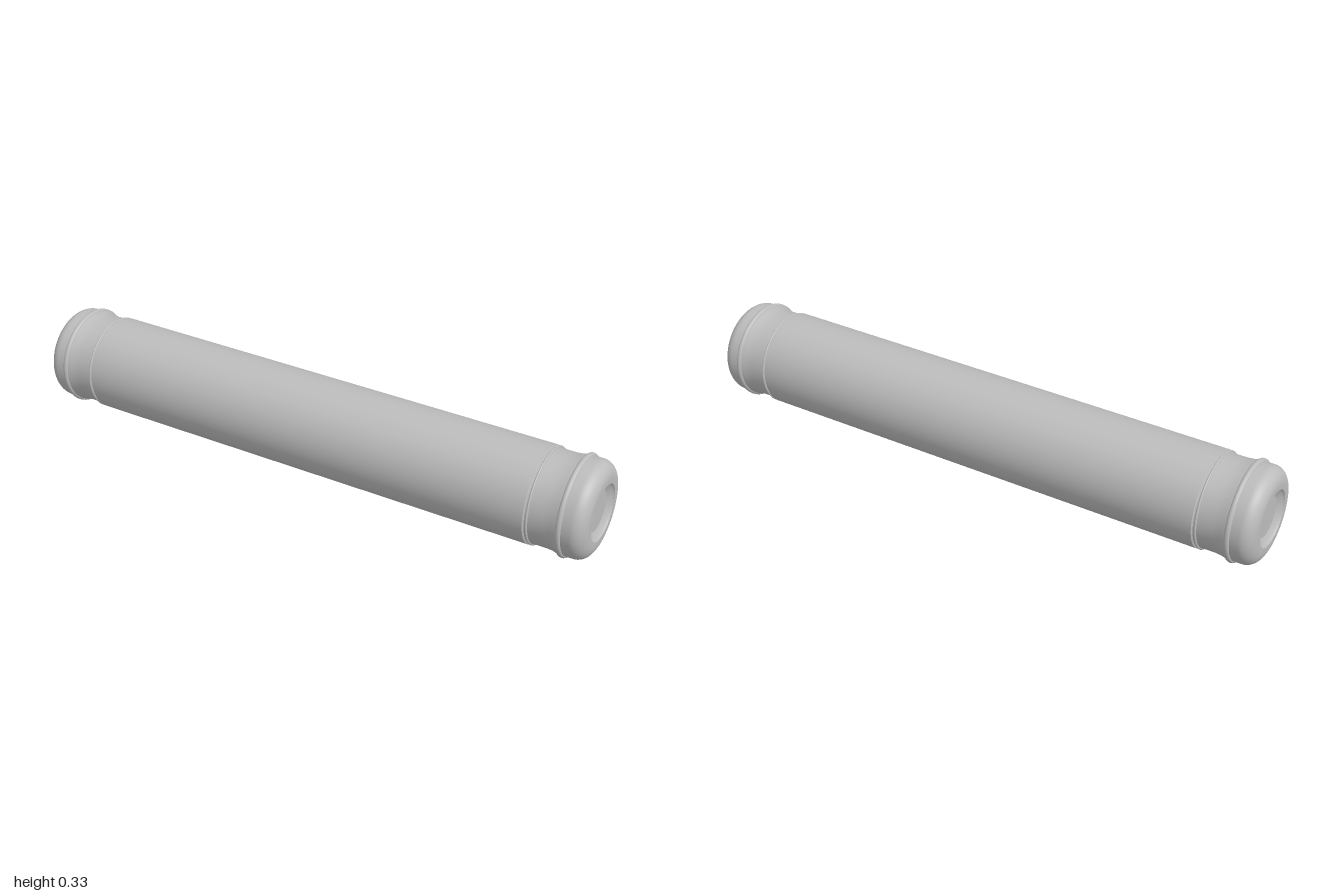
import * as THREE from 'three';

const AXIS_Y = 0.167;
const SEGMENTS = 96;

export function createModel() {
  const model = new THREE.Group();
  model.name = 'roller';
  const grey = new THREE.MeshStandardMaterial({ color: 0xbcbcbc });
  grey.name = 'plain grey';

  // Turned part: profile of [radius, distance along the axis]
  const turned = (name, profile, parent) => {
    const points = profile.map(([r, d]) => new THREE.Vector2(r, d));
    const mesh = new THREE.Mesh(new THREE.LatheGeometry(points, SEGMENTS), grey);
    mesh.name = name;
    parent.add(mesh);
  };

  // Half circle bead standing proud of the surface
  const bead = (r, height, at, half) => Array.from({ length: 9 }, (_, i) => {
    const a = Math.PI * i / 8;
    return [r + height * Math.sin(a), at - half * Math.cos(a)];
  });

  // Quarter round of the cap, from the side onto the end face
  const round = Array.from({ length: 13 }, (_, i) => {
    const a = Math.PI / 2 * i / 12;
    return [0.108 + 0.051 * Math.cos(a), 0.955 + 0.045 * Math.sin(a)];
  });

  for (const side of [1, -1]) {
    const end = new THREE.Group();
    end.name = side > 0 ? 'leftEnd' : 'rightEnd';
    end.rotation.z = -side * Math.PI / 2;
    end.position.y = AXIS_Y;
    model.add(end);

    // Half of the main barrel, with its shoulder
    turned('barrel', [[0.16, 0], [0.16, 0.806]], end);
    turned('barrelShoulder', [[0.16, 0.806], [0.154, 0.809]], end);

    // Groove, narrow rim and waisted neck
    turned('groove', [[0.154, 0.809], [0.154, 0.813]], end);
    turned('neckRim', bead(0.154, 0.006, 0.817, 0.004), end);
    turned('neck', [[0.154, 0.821], [0.153, 0.84], [0.153, 0.87],
      [0.155, 0.89], [0.159, 0.905], [0.16, 0.912]], end);

    // Raised bead and rounded cap
    turned('bead', bead(0.159, 0.008, 0.92, 0.009), end);
    turned('cap', [[0.159, 0.927], ...round, [0.093, 1]], end);

    // Sloped recess with a flat floor
    turned('recessWall', [[0.093, 1], [0.088, 0.992], [0.067, 0.983]], end);
    turned('recessFloor', [[0.067, 0.983], [0, 0.983]], end);
  }
  return model;
}
